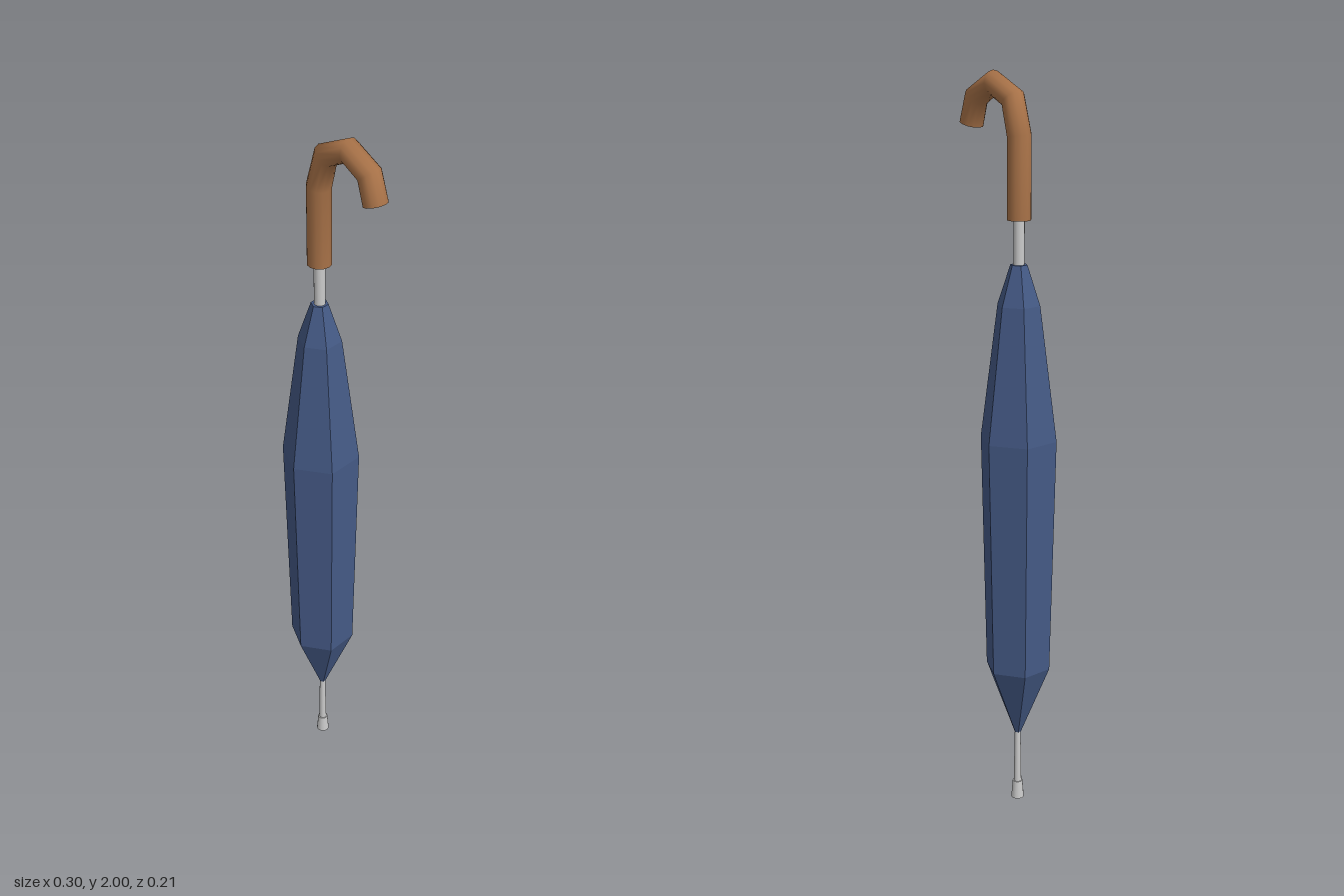
import * as THREE from 'three';

const AXIS_X = -0.061;

// Curve sampled exactly at its corner points, with averaged tangents at the bends
class BentPath extends THREE.Curve {
  constructor(points) {
    super();
    this.points = points;
  }
  index(t) {
    return Math.round(t * (this.points.length - 1));
  }
  getPoint(t, target = new THREE.Vector3()) {
    return target.copy(this.points[this.index(t)]);
  }
  getPointAt(t, target) {
    return this.getPoint(t, target);
  }
  getTangentAt(t, target = new THREE.Vector3()) {
    const i = this.index(t), p = this.points, last = p.length - 1;
    target.set(0, 0, 0);
    if (i > 0) target.add(p[i].clone().sub(p[i - 1]).normalize());
    if (i < last) target.add(p[i + 1].clone().sub(p[i]).normalize());
    return target.normalize();
  }
}

export function createModel() {
  const model = new THREE.Group();
  const metal = new THREE.MeshStandardMaterial({ color: 0xcccccc });
  const wood = new THREE.MeshStandardMaterial({ color: 0xa87248 });
  const fabric = new THREE.MeshStandardMaterial({ color: 0x455a86, flatShading: true });

  const add = (name, geometry, material, parent = model) => {
    const mesh = new THREE.Mesh(geometry, material);
    mesh.name = name;
    parent.add(mesh);
    return mesh;
  };
  const rod = (name, rTop, rBottom, y0, y1) => {
    const mesh = add(name, new THREE.CylinderGeometry(rTop, rBottom, y1 - y0, 12), metal);
    mesh.position.set(AXIS_X, (y0 + y1) / 2, 0);
  };

  // Metal shaft, tapered tip and end cap
  rod('ferrule', 0.014, 0.018, 0, 0.05);
  rod('tipRod', 0.008, 0.011, 0.045, 0.22);
  rod('shaft', 0.015, 0.015, 1.48, 1.64);

  // Furled six-sided canopy
  const profile = [[0, 0.2], [0.009, 0.2], [0.09, 0.4], [0.105, 1.05], [0.058, 1.41], [0.023, 1.515], [0, 1.515]];
  const canopy = add('canopy', new THREE.LatheGeometry(profile.map(([r, y]) => new THREE.Vector2(r, y)), 6), fabric);
  canopy.position.x = AXIS_X;

  // Hooked wooden handle with flat ends
  const handle = new THREE.Group();
  handle.name = 'handle';
  model.add(handle);
  const radius = 0.032, sides = 12;
  const points = [[AXIS_X, 1.63], [AXIS_X, 1.842], [-0.037, 1.932], [0.036, 1.968], [0.101, 1.929], [0.121, 1.86]]
    .map(([x, y]) => new THREE.Vector3(x, y, 0));
  const path = new BentPath(points);
  add('hook', new THREE.TubeGeometry(path, points.length - 1, radius, sides), wood, handle);
  [[0, -1, 'handleBase'], [1, 1, 'hookEnd']].forEach(([t, sign, name]) => {
    const cap = add(name, new THREE.CircleGeometry(radius, sides), wood, handle);
    cap.position.copy(path.getPointAt(t));
    cap.quaternion.setFromUnitVectors(new THREE.Vector3(0, 0, 1), path.getTangentAt(t).multiplyScalar(sign));
  });

  return model;
}
